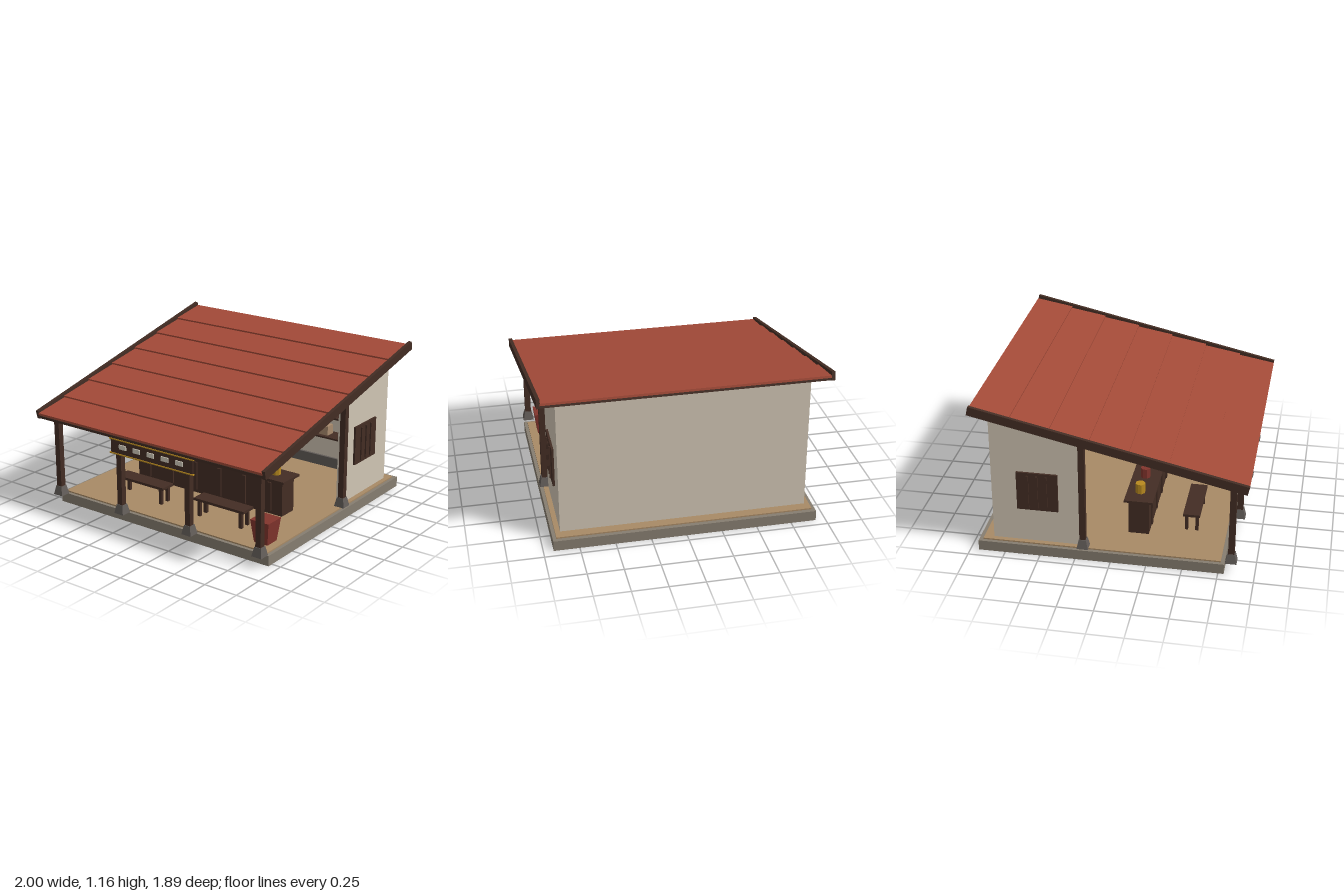
import * as THREE from 'three';

const mat = (name, color) => {
  const m = new THREE.MeshStandardMaterial({ color });
  m.name = name;
  return m;
};

export function createModel() {
  const roofRed = mat('roof red', 0xa34a38);
  const plaster = mat('plaster', 0xd0c5b3);
  const floorTan = mat('floor tan', 0xa88a66);
  const wood = mat('dark wood', 0x432d24);
  const slabStone = mat('slab stone', 0x867d70);
  const footStone = mat('footing stone', 0x625c58);
  const gold = mat('gold', 0xb8891f);
  const maroon = mat('maroon', 0x83352d);
  const clay = mat('clay', 0xa98b6e);
  const cream = mat('cream', 0xd6cfc0);

  const model = new THREE.Group();
  model.name = 'openFrontShop';

  const add = (name, geo, material, x, y, z, parent = model) => {
    const m = new THREE.Mesh(geo, material);
    m.name = name;
    m.position.set(x, y, z);
    parent.add(m);
    return m;
  };
  // Box given by its limits on each axis
  const box = (name, material, [x0, x1], [y0, y1], [z0, z1], parent = model) =>
    add(name, new THREE.BoxGeometry(x1 - x0, y1 - y0, z1 - z0), material,
      (x0 + x1) / 2, (y0 + y1) / 2, (z0 + z1) / 2, parent);
  // Prism with flat sides; four sides gives a square taper aligned to the axes
  const prism = (rTop, rBottom, h, sides) => {
    const g = new THREE.CylinderGeometry(rTop, rBottom, h, sides).rotateY(Math.PI / sides).toNonIndexed();
    g.computeVertexNormals();
    return g;
  };
  const around = (c, w) => [c - w / 2, c + w / 2];

  const FLOOR = 0.085, SLOPE = 0.224;
  const eave = (z) => 0.888 - SLOPE * z; // underside of the roof

  // Platform
  box('stoneSlab', slabStone, [-0.93, 0.93], [0, 0.075], [-0.94, 0.79]);
  box('floor', floorTan, [-0.905, 0.905], [0.075, FLOOR], [-0.91, 0.765]);

  // Posts on tapered stone footings
  const post = (x, z) => {
    box('post', wood, around(x, 0.043), [0.14, eave(z) + 0.01], around(z, 0.043));
    add('postFooting', prism(0.026 * Math.SQRT2, 0.04 * Math.SQRT2, 0.067, 4), footStone, x, FLOOR + 0.033, z);
  };
  [-0.89, -0.303, 0.303, 0.89].forEach((x) => post(x, 0.835));
  [-0.89, 0.89].forEach((x) => post(x, -0.197));
  box('frontBeam', wood, [-0.92, 0.92], [0.66, 0.695], [0.81, 0.86]);

  // Walls, with side tops cut to the roof slope
  box('backWall', plaster, [-0.83, 0.83], [FLOOR, 1.07], [-0.84, -0.8]);
  const side = new THREE.Shape([
    new THREE.Vector2(-0.84, FLOOR), new THREE.Vector2(-0.218, FLOOR),
    new THREE.Vector2(-0.218, eave(-0.218)), new THREE.Vector2(-0.84, eave(-0.84)),
  ]);
  const sideGeo = new THREE.ExtrudeGeometry(side, { depth: 0.04, bevelEnabled: false })
    .rotateY(-Math.PI / 2).translate(0.02, 0, 0);
  box('wallPlinth', footStone, [-0.83, 0.83], [FLOOR, 0.165], [-0.8, -0.78]);
  for (const s of [-1, 1]) {
    add('sideWall', sideGeo, plaster, s * 0.85, 0, 0);
    // Shuttered window with three bars
    add('windowShutter', new THREE.BoxGeometry(0.02, 0.29, 0.29), wood, s * 0.875, 0.485, -0.515);
    for (const z of [-0.45, -0.515, -0.58])
      add('windowBar', new THREE.BoxGeometry(0.014, 0.25, 0.014), wood, s * 0.888, 0.485, z);
  }

  // Sloping roof: dark deck, seven overlapping courses, edge boards
  const roof = new THREE.Group();
  roof.name = 'roof';
  roof.position.set(0, 0.92, 0);
  roof.rotation.x = Math.atan(SLOPE);
  model.add(roof);
  const L = 1.926, COURSES = 7, step = L / COURSES;
  box('roofDeck', wood, [-0.977, 0.977], [-0.03, -0.01], [-L / 2 + 0.005, L / 2 - 0.005], roof);
  for (let i = 0; i < COURSES; i++) {
    const course = add('roofCourse', new THREE.BoxGeometry(1.954, 0.016, step + 0.004), roofRed,
      0, 0.002, -L / 2 + step * (i + 0.5), roof);
    course.rotation.x = -0.045;
  }
  for (const s of [-1, 1])
    add('edgeBoard', new THREE.BoxGeometry(0.025, 0.062, L), wood, s * 0.9875, 0, 0, roof);

  // Counter with front battens and small jars
  box('counterBody', wood, [-0.655, 0.655], [FLOOR, 0.347], [0.08, 0.226]);
  box('counterTop', wood, [-0.685, 0.685], [0.345, 0.361], [0.052, 0.256]);
  const jarColors = [gold, maroon, cream, clay, maroon, gold];
  const jarGeo = prism(0.035, 0.035, 0.073, 8);
  jarColors.forEach((c, i) => {
    const x = -0.55 + i * 0.22;
    box('counterBatten', wood, around(x, 0.03), [0.11, 0.325], [0.226, 0.238]);
    add('counterJar', jarGeo, c, x, 0.398, 0.147);
  });

  // Wall shelves with boxed goods
  const goods = [maroon, gold, gold, roofRed, cream, clay, maroon];
  for (const y of [0.365, 0.53]) {
    box('shelf', wood, [-0.71, 0.71], [y, y + 0.013], [-0.8, -0.66]);
    goods.forEach((c, i) =>
      box('shelfGoods', c, around((i - 3) * 0.207, 0.076), [y + 0.013, y + 0.086], around(-0.73, 0.076)));
  }

  // Two benches
  for (const s of [-1, 1]) {
    const cx = s * 0.355;
    box('benchSeat', wood, around(cx, 0.43), [0.203, 0.222], [0.455, 0.575]);
    for (const dx of [-0.18, 0.18])
      for (const z of [0.478, 0.552])
        box('benchLeg', wood, around(cx + dx, 0.025), [FLOOR, 0.205], around(z, 0.022));
  }

  // Tapered square tub
  add('tub', prism(0.075 * Math.SQRT2, 0.055 * Math.SQRT2, 0.167, 4), maroon, 0.79, FLOOR + 0.0835, 0.625);

  // Hanging board with gold trim and five blank plaques
  box('hangingBoard', wood, [-0.36, 0.36], [0.545, 0.65], [0.855, 0.868]);
  for (const y of [0.542, 0.648])
    box('boardTrim', gold, [-0.37, 0.37], [y - 0.004, y + 0.004], [0.857, 0.875]);
  for (let i = -2; i <= 2; i++)
    box('plaque', cream, around(i * 0.125, 0.062), [0.583, 0.616], [0.868, 0.876]);

  return model;
}
